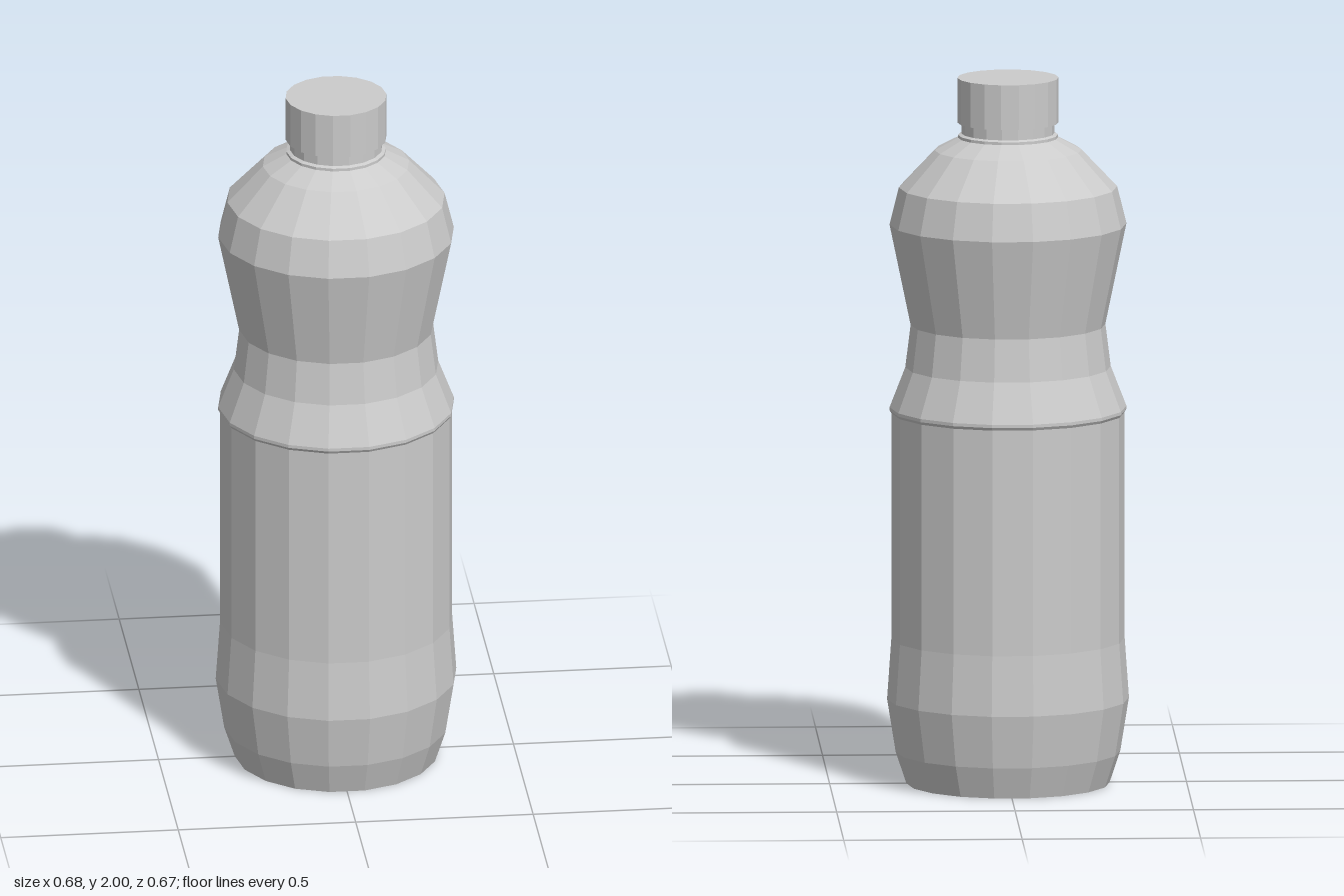
import * as THREE from 'three';

const SIDES = 18;

export function createModel() {
  const bottle = new THREE.Group();
  bottle.name = 'bottle';
  const material = new THREE.MeshStandardMaterial({ color: 0xcccccc, flatShading: true });

  // Revolves a [radius, height] profile, listed from bottom to top, with a corner on the x axis
  function turned(name, profile) {
    const points = profile.map(([r, y]) => new THREE.Vector2(r, y));
    const mesh = new THREE.Mesh(new THREE.LatheGeometry(points, SIDES, Math.PI / 2), material);
    mesh.name = name;
    bottle.add(mesh);
  }

  // Lower body: flat base, rounded foot, straight label area
  turned('lowerBody', [
    [0, 0], [0.285, 0], [0.315, 0.09], [0.339, 0.24], [0.327, 0.41], [0.327, 1.05],
  ]);

  // Upper body: overhanging rim, gripping waist and shoulder
  turned('upperBody', [
    [0.327, 1.05], [0.332, 1.058], [0.332, 1.067], [0.288, 1.18], [0.273, 1.30],
    [0.332, 1.585], [0.306, 1.69], [0.206, 1.795], [0.14, 1.83],
  ]);

  // Neck with a small collar under the cap
  turned('neck', [
    [0.14, 1.83], [0.14, 1.838], [0.13, 1.842], [0.13, 1.875],
  ]);

  // Closed screw cap
  turned('cap', [[0, 1.873], [0.142, 1.873], [0.142, 2], [0, 2]]);

  return bottle;
}
